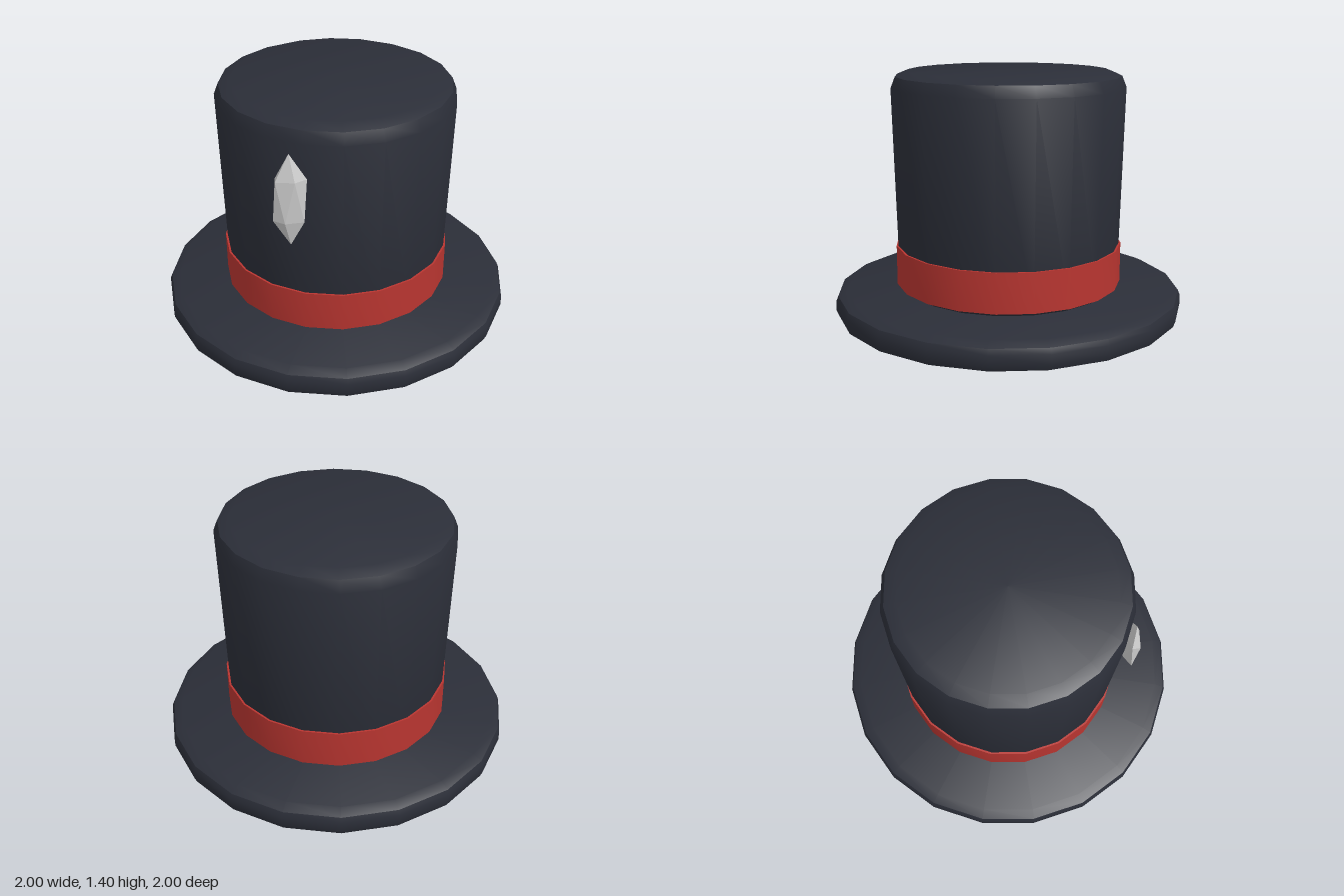
import * as THREE from 'three';
import { toCreasedNormals } from 'three/addons/utils/BufferGeometryUtils.js';

const SIDES = 20;

const felt = new THREE.MeshStandardMaterial({ color: 0x2b2e38 });
const red = new THREE.MeshStandardMaterial({ color: 0xb83530 });
const grey = new THREE.MeshStandardMaterial({ color: 0xcccccc, flatShading: true });

// Turned part: profile of [radius, y] pairs listed from bottom to top
function turned(name, profile, material) {
  const points = profile.map(([r, y]) => new THREE.Vector2(r, y));
  const geometry = toCreasedNormals(new THREE.LatheGeometry(points, SIDES), 0.6);
  const mesh = new THREE.Mesh(geometry, material);
  mesh.name = name;
  return mesh;
}

export function createModel() {
  const hat = new THREE.Group();
  hat.name = 'topHat';

  // Flat brim with a bevelled rim
  hat.add(turned('brim', [
    [0, 0], [0.935, 0], [0.988, 0.025], [1, 0.055],
    [1, 0.11], [0.988, 0.14], [0.935, 0.165], [0, 0.165],
  ], felt));

  // Slightly flared crown with bevelled ends
  hat.add(turned('crown', [
    [0.6, 0.16], [0.617, 0.18], [0.635, 0.23],
    [0.66, 1.31], [0.635, 1.373], [0.57, 1.4], [0, 1.4],
  ], felt));

  // Ribbon standing just proud of the crown
  hat.add(turned('ribbon', [
    [0.6, 0.19], [0.65, 0.19], [0.65, 0.415], [0.6, 0.415],
  ], red));

  // Flattened faceted stone, standing on one point, set into the front
  const gem = new THREE.IcosahedronGeometry(1, 0);
  gem.rotateZ(-Math.atan(2 / (1 + Math.sqrt(5))));
  gem.scale(0.098, 0.262, 0.042);
  const stone = new THREE.Mesh(gem, grey);
  stone.name = 'stone';
  stone.position.set(-0.268, 1, 0.628);
  hat.add(stone);

  return hat;
}
